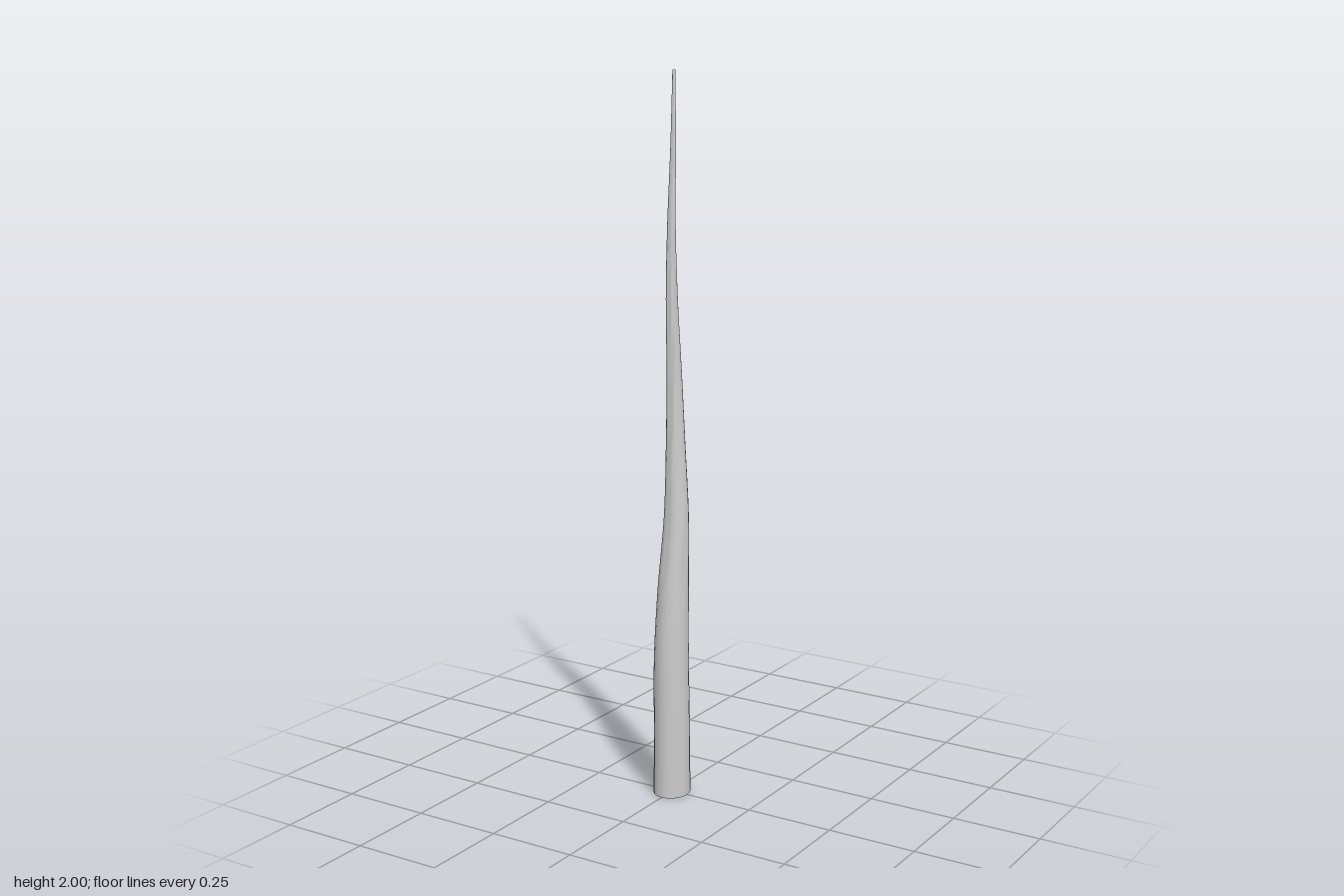
import * as THREE from 'three';
import { toCreasedNormals } from 'three/addons/utils/BufferGeometryUtils.js';

// Cross-sections every 0.2 in height: centre x, centre z, radius x, radius z
const SECTIONS = [
  [0, 0.001, 0.050, 0.056],
  [0, 0.002, 0.049, 0.054],
  [-0.001, 0.003, 0.047, 0.052],
  [0.002, -0.002, 0.042, 0.045],
  [0.007, -0.010, 0.034, 0.035],
  [0.002, -0.014, 0.026, 0.028],
  [-0.002, -0.013, 0.020, 0.022],
  [-0.004, -0.004, 0.016, 0.0165],
  [-0.002, 0.001, 0.0115, 0.0105],
  [0.002, -0.001, 0.008, 0.006],
  [0, -0.008, 0.004, 0.004],
];
const HEIGHT = 2;

// Smooth curves through the section centres and radii
const centres = new THREE.CatmullRomCurve3(
  SECTIONS.map(([x, z], i) => new THREE.Vector3(x, i * 0.2, z)), false, 'catmullrom');
const radii = new THREE.CatmullRomCurve3(
  SECTIONS.map(([, , rx, rz]) => new THREE.Vector3(rx, 0, rz)), false, 'catmullrom');

export function createModel() {
  const group = new THREE.Group();
  group.name = 'twistedSpike';

  // Unit cylinder, bent and tapered along the curves; caps stay closed
  const geometry = new THREE.CylinderGeometry(1, 1, HEIGHT, 20, 40);
  geometry.translate(0, HEIGHT / 2, 0);
  const pos = geometry.attributes.position;
  for (let i = 0; i < pos.count; i++) {
    const t = THREE.MathUtils.clamp(pos.getY(i) / HEIGHT, 0, 1);
    const c = centres.getPoint(t);
    const r = radii.getPoint(t);
    pos.setX(i, c.x + pos.getX(i) * r.x);
    pos.setZ(i, c.z + pos.getZ(i) * r.z);
  }

  const spike = new THREE.Mesh(
    toCreasedNormals(geometry, 0.8),
    new THREE.MeshStandardMaterial({ color: 0xcccccc }));
  spike.name = 'spike';
  group.add(spike);
  return group;
}
